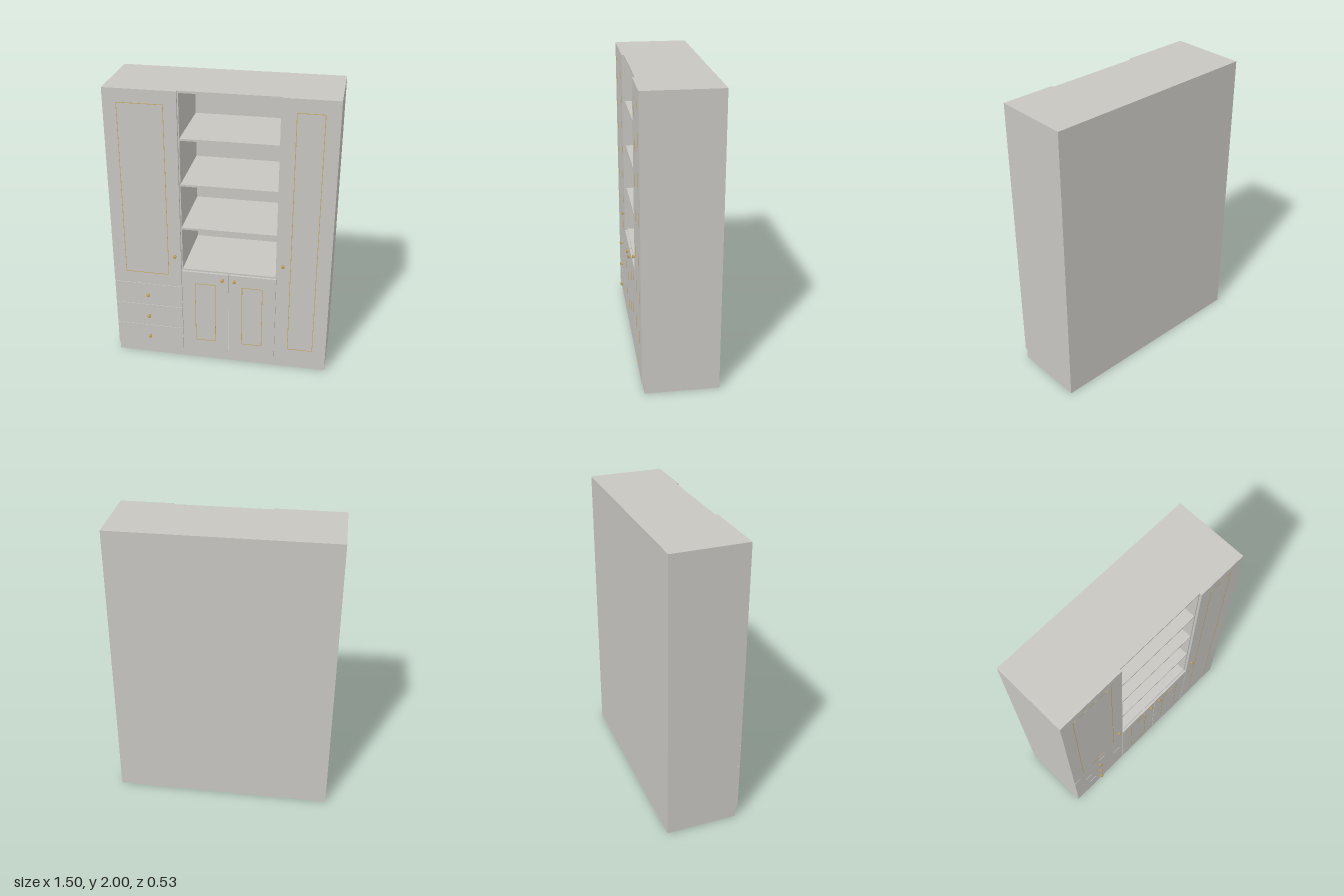
import * as THREE from 'three';

export function createModel() {
  const root = new THREE.Group();
  root.name = 'cabinet';
  const paint = new THREE.MeshStandardMaterial({ color: 0xc8c6c1 });
  paint.name = 'warm grey paint';
  const brass = new THREE.MeshStandardMaterial({ color: 0xc8a75a });
  brass.name = 'brass';

  // Box given by its minimum and maximum corners
  function box(name, x0, x1, y0, y1, z0, z1, material = paint, parent = root) {
    const mesh = new THREE.Mesh(new THREE.BoxGeometry(x1 - x0, y1 - y0, z1 - z0), material);
    mesh.position.set((x0 + x1) / 2, (y0 + y1) / 2, (z0 + z1) / 2);
    mesh.name = name;
    parent.add(mesh);
    return mesh;
  }

  const W = 0.748, T = 0.014, BACK = -0.265, FRONT = 0.229, FACE = 0.245;
  const BASE = 0.07, TOP = 2, INNER = BACK + 0.006;
  const nicheL = -0.26, nicheR = 0.381;

  // Open plinth frame
  box('plinthFront', -W, W, 0, BASE, FRONT - T, FRONT);
  box('plinthBack', -W, W, 0, BASE, BACK, BACK + T);
  for (const s of [-1, 1]) {
    const a = s * W, b = s * (W - T);
    box('plinthSide', Math.min(a, b), Math.max(a, b), 0, BASE, BACK + T, FRONT - T);
    box('sidePanel', Math.min(a, b), Math.max(a, b), BASE, TOP, INNER, FRONT);
  }

  // Carcass
  box('backPanel', -W, W, BASE, TOP, BACK, INNER);
  box('bottomPanel', -W + T, W - T, BASE, BASE + T, INNER, FRONT);
  box('topPanel', -W + T, W - T, TOP - T, TOP, INNER, FRONT);
  box('leftDivider', nicheL - T, nicheL, BASE + T, TOP - T, INNER, FRONT);
  box('rightDivider', nicheR, nicheR + T, BASE + T, TOP - T, INNER, FRONT);

  // Niche shelves
  for (const y of [0.731, 1.049, 1.367, 1.685]) {
    box('shelf', nicheL, nicheR, y - T, y, INNER, FRONT);
  }

  // Door or drawer front, with an optional thin brass outline
  function front(name, x0, x1, y0, y1, inlay) {
    const group = new THREE.Group();
    group.name = name;
    root.add(group);
    box(name + 'Panel', x0, x1, y0, y1, FRONT, FACE, paint, group);
    if (!inlay) return;
    const [a, b, c, d] = inlay, t = 0.004, z0 = FACE - 0.001, z1 = FACE + 0.0006;
    box('inlayBottom', a, b, c, c + t, z0, z1, brass, group);
    box('inlayTop', a, b, d - t, d, z0, z1, brass, group);
    box('inlaySide', a, a + t, c + t, d - t, z0, z1, brass, group);
    box('inlaySide', b - t, b, c + t, d - t, z0, z1, brass, group);
  }
  front('tallDoorRight', -W, -0.268, 0.591, TOP, [-0.66, -0.355, 0.68, 1.91]);
  front('tallDoorLeft', 0.39, W, BASE + 0.002, TOP, [0.479, 0.656, 0.16, 1.91]);
  front('lowDoorRight', -0.265, 0.06, BASE + 0.002, 0.719, [-0.175, -0.03, 0.16, 0.63]);
  front('lowDoorLeft', 0.064, 0.387, BASE + 0.002, 0.719, [0.153, 0.297, 0.16, 0.63]);
  for (let i = 0; i < 3; i++) {
    const y = BASE + 0.002 + i * 0.173;
    front('drawer', -W, -0.268, y, y + 0.17);
  }

  // Round brass knobs: stem and flat head turned as one profile
  const profile = [[0, 0], [0.006, 0], [0.006, 0.014], [0.0125, 0.015], [0.0125, 0.02], [0, 0.02]];
  const shape = profile.map(([r, h]) => new THREE.Vector2(r, h));
  const knobGeometry = new THREE.LatheGeometry(shape, 20).rotateX(Math.PI / 2);
  const knobs = [
    [-0.508, 0.155], [-0.508, 0.328], [-0.508, 0.503],
    [-0.307, 0.835], [0.43, 0.835], [0.019, 0.68], [0.104, 0.68],
  ];
  for (const [x, y] of knobs) {
    const knob = new THREE.Mesh(knobGeometry, brass);
    knob.position.set(x, y, FACE);
    knob.name = 'knob';
    root.add(knob);
  }
  return root;
}
